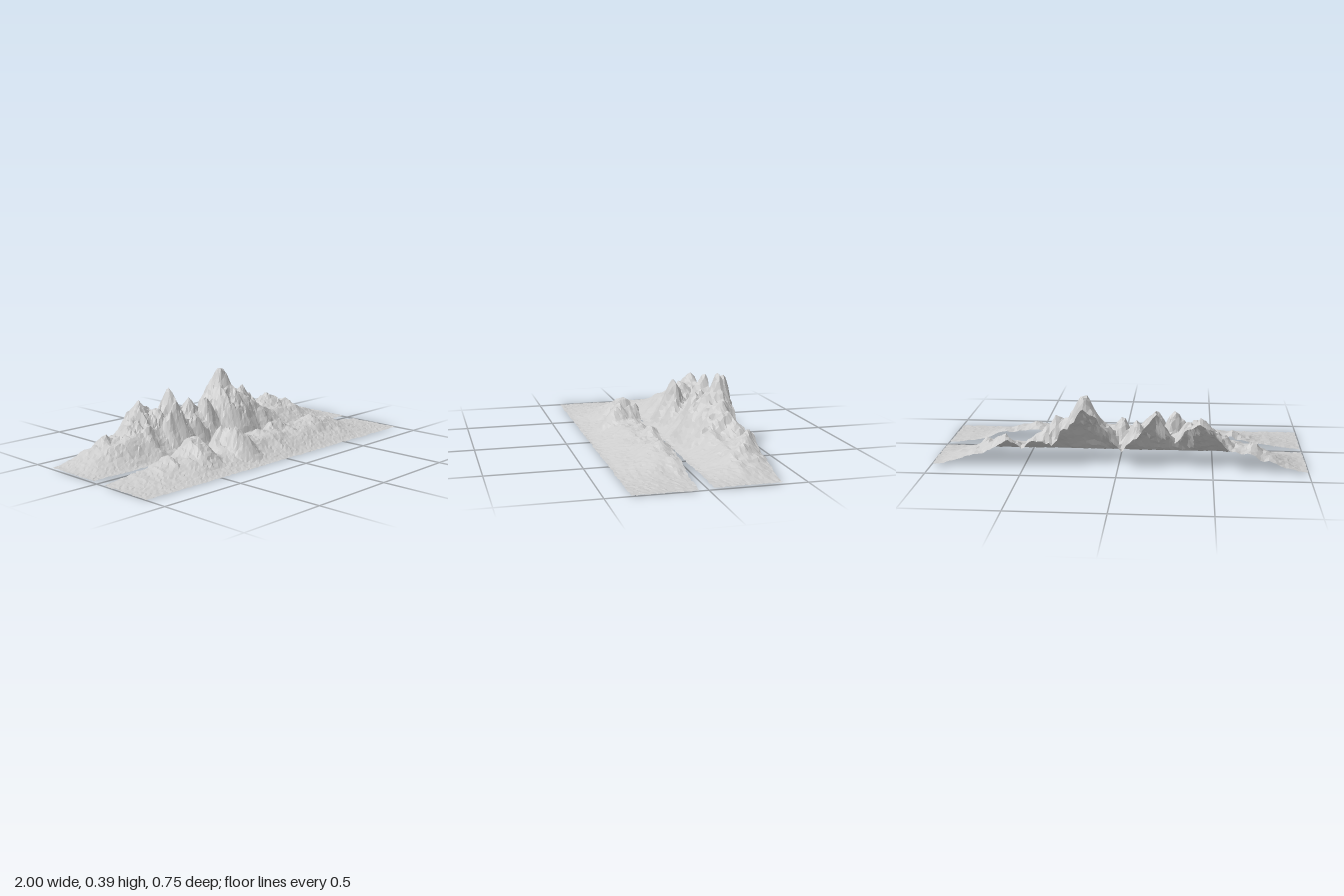
import * as THREE from 'three';

// Repeatable value noise in the range -1..1
function hash(i, j) {
  const s = Math.sin(i * 127.1 + j * 311.7) * 43758.5453;
  return (s - Math.floor(s)) * 2 - 1;
}

function noise(x, z) {
  const i = Math.floor(x), j = Math.floor(z);
  const u = THREE.MathUtils.smoothstep(x - i, 0, 1);
  const v = THREE.MathUtils.smoothstep(z - j, 0, 1);
  const { lerp } = THREE.MathUtils;
  return lerp(
    lerp(hash(i, j), hash(i + 1, j), u),
    lerp(hash(i, j + 1), hash(i + 1, j + 1), u), v);
}

// Sharp-crested noise for spurs and gullies
function ridged(x, z) {
  let sum = 0, amp = 0.6;
  for (let k = 0, f = 1; k < 3; k++, f *= 2.1, amp *= 0.5) {
    sum += amp * (0.5 - Math.abs(noise(x * f + 7 * k, z * f)) * 1.4);
  }
  return sum;
}

// Linear interpolation through [position, value] points
function profile(points, t) {
  for (let i = 1; i < points.length; i++) {
    const [a, p] = points[i - 1], [b, q] = points[i];
    if (t <= b) return p + (q - p) * Math.max(0, (t - a) / (b - a));
  }
  return points[points.length - 1][1];
}

// Open terrain sheet: foothills along x, a slope along z, and cone-like peaks
function mountainRange({ name, zBack, zFront, base, hills, slope, peaks, seed }) {
  const depth = zFront - zBack;
  const nx = 120, nz = Math.round(depth * 70);
  const geometry = new THREE.PlaneGeometry(1.99, depth - 0.006, nx, nz);
  geometry.rotateX(-Math.PI / 2);
  geometry.translate(0, 0, (zBack + zFront) / 2);
  const pos = geometry.attributes.position;

  for (let n = 0; n < pos.count; n++) {
    // Jitter the grid so facets and outer edges are ragged
    const x = pos.getX(n) + 0.005 * hash(n, seed);
    const z = pos.getZ(n) + 0.004 * hash(n, seed + 9);

    // Warp the coordinates to bend the ridges
    const wx = x + 0.012 * noise(x * 12 + seed, z * 12);
    const wz = z + 0.012 * noise(x * 12, z * 12 + seed);

    let h = profile(hills, wx) * profile(slope, wz);
    for (const [px, pz, ph, rx, rz] of peaks) {
      const d = Math.hypot((wx - px) / rx, (wz - pz) / rz);
      const spur = 1 + 0.25 * ridged(x * 12 + seed, z * 7) * Math.min(1, d * 3);
      h = Math.max(h, ph * Math.max(0, 1 - d) * spur);
    }
    h *= 1 + 0.35 * ridged(x * 9 + seed, z * 8) * (h < 0.2 ? 1 : 0.3);

    // Fade to the flat apron at the front and both ends
    const fade = Math.min(1, (zFront - z) / 0.06, (1 - Math.abs(x)) / 0.1);
    h = Math.max(0, h * Math.max(0, fade));
    pos.setXYZ(n, x, base + h + 0.002 * hash(n, seed + 4), z);
  }

  geometry.computeVertexNormals();
  const mesh = new THREE.Mesh(geometry, new THREE.MeshStandardMaterial({
    color: 0xcccccc, flatShading: true, side: THREE.DoubleSide,
  }));
  mesh.name = name;
  return mesh;
}

export function createModel() {
  const group = new THREE.Group();
  group.name = 'mountainRanges';

  // Tall rear range; peaks are [x, z, height, x radius, z radius]
  group.add(mountainRange({
    name: 'rearRange', zBack: -0.373, zFront: -0.027, base: 0.01, seed: 3,
    hills: [[-1, 0], [-0.88, 0.03], [-0.7, 0.1], [-0.5, 0.14], [-0.25, 0.14],
      [0.04, 0.12], [0.3, 0.15], [0.5, 0.1], [0.7, 0.09], [0.9, 0.02], [1, 0]],
    slope: [[-0.37, 0.8], [-0.3, 1], [-0.2, 1], [-0.15, 0.65], [-0.1, 0.28],
      [-0.06, 0.09], [-0.03, 0]],
    peaks: [
      [0.18, -0.31, 0.39, 0.26, 0.27],
      [0.185, -0.352, 0.38, 0.22, 0.13],
      [0.1, -0.27, 0.25, 0.2, 0.18],
      [0.26, -0.24, 0.25, 0.18, 0.16],
      [0.32, -0.28, 0.28, 0.21, 0.2],
      [0.42, -0.32, 0.19, 0.2, 0.2],
      [-0.19, -0.355, 0.31, 0.17, 0.22],
      [-0.1, -0.29, 0.26, 0.18, 0.2],
      [-0.03, -0.25, 0.25, 0.16, 0.17],
      [-0.3, -0.195, 0.28, 0.18, 0.145],
      [-0.43, -0.34, 0.28, 0.24, 0.24],
      [-0.37, -0.27, 0.25, 0.22, 0.19],
      [-0.52, -0.28, 0.2, 0.2, 0.2],
      [-0.7, -0.3, 0.13, 0.22, 0.22],
      [-0.17, -0.17, 0.18, 0.12, 0.11],
      [0.12, -0.17, 0.18, 0.13, 0.11],
      [0.36, -0.17, 0.14, 0.14, 0.11],
      [0.6, -0.33, 0.155, 0.2, 0.24],
      [0.7, -0.28, 0.12, 0.2, 0.2],
    ],
  }));

  // Low front range
  group.add(mountainRange({
    name: 'frontRange', zBack: 0.043, zFront: 0.373, base: 0.004, seed: 21,
    hills: [[-1, 0], [-0.85, 0.015], [-0.65, 0.05], [-0.5, 0.08], [-0.33, 0.06],
      [-0.15, 0.095], [0.1, 0.09], [0.35, 0.085], [0.57, 0.085], [0.7, 0.05],
      [0.85, 0.015], [1, 0]],
    slope: [[0.05, 0.85], [0.1, 1], [0.17, 0.88], [0.24, 0.5], [0.3, 0.2], [0.37, 0]],
    peaks: [
      [-0.44, 0.11, 0.17, 0.16, 0.2],
      [-0.17, 0.155, 0.175, 0.15, 0.18],
      [-0.18, 0.11, 0.165, 0.14, 0.17],
      [-0.19, 0.065, 0.155, 0.14, 0.15],
      [-0.62, 0.1, 0.08, 0.18, 0.2],
      [0.04, 0.09, 0.12, 0.18, 0.2],
      [0.22, 0.07, 0.125, 0.2, 0.2],
      [0.5, 0.1, 0.11, 0.22, 0.2],
      [0.66, 0.08, 0.08, 0.2, 0.2],
    ],
  }));

  return group;
}
